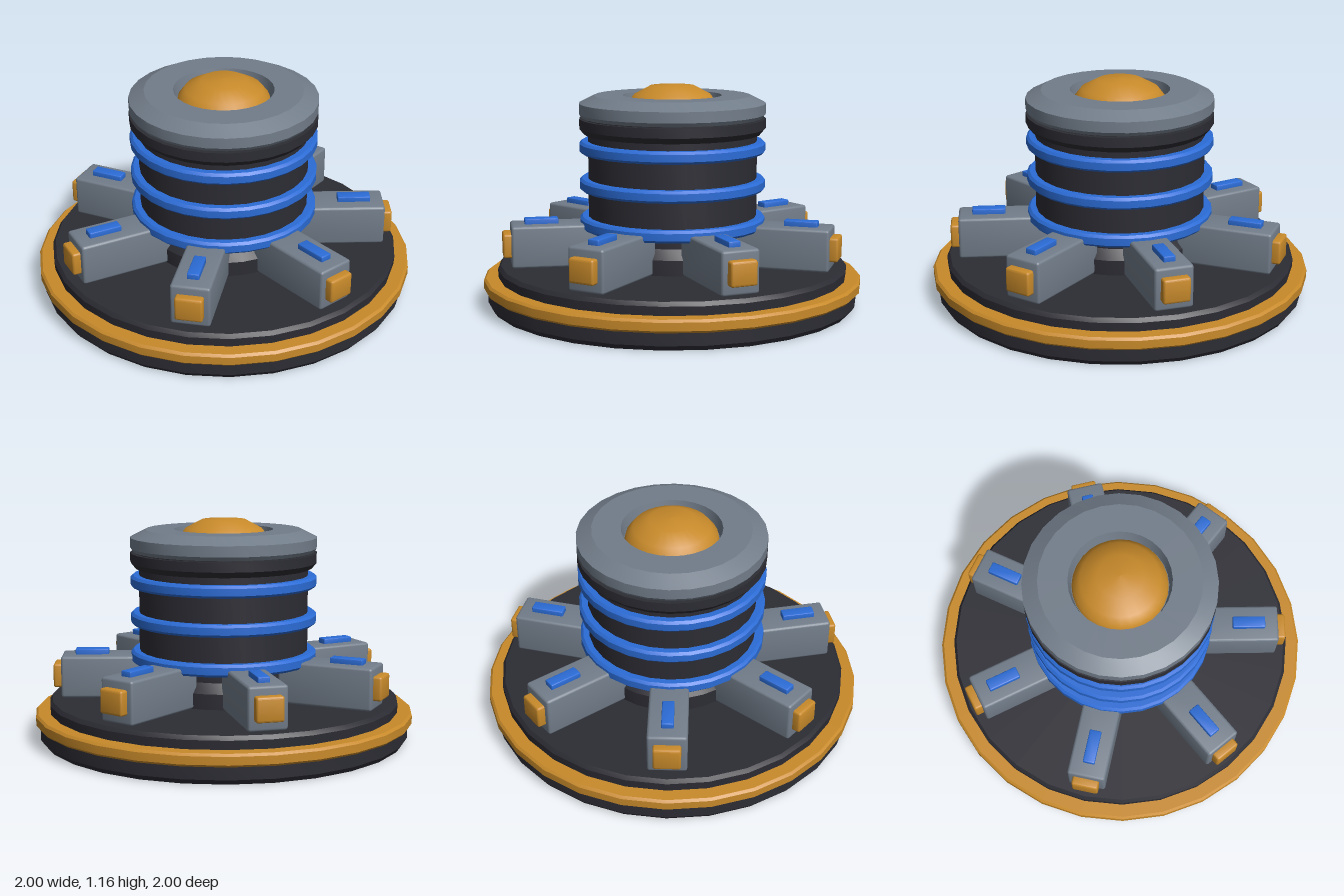
import * as THREE from 'three';
import { toCreasedNormals } from 'three/addons/utils/BufferGeometryUtils.js';
import { RoundedBoxGeometry } from 'three/addons/geometries/RoundedBoxGeometry.js';

const SIDES = 28;
const ARMS = 7;

function material(name, color) {
  const m = new THREE.MeshStandardMaterial({ color });
  m.name = name;
  return m;
}

export function createModel() {
  const model = new THREE.Group();
  model.name = 'reactorTower';
  const dark = material('charcoal', 0x2c2c34);
  const grey = material('steelGrey', 0x727d8a);
  const blue = material('brightBlue', 0x2b6cd6);
  const gold = material('gold', 0xc88a2a);

  function add(parent, name, geometry, mat) {
    const mesh = new THREE.Mesh(geometry, mat);
    mesh.name = name;
    parent.add(mesh);
    return mesh;
  }

  // Turned part: profile of [radius, y] pairs running upwards along the outside
  function turned(name, profile, mat, smooth = false) {
    const points = profile.map(([r, y]) => new THREE.Vector2(r, y));
    const lathe = new THREE.LatheGeometry(points, SIDES);
    return add(model, name, smooth ? lathe : toCreasedNormals(lathe, 0.45), mat);
  }

  // Chamfered band between two heights
  function band(name, inner, outer, y0, y1, c, mat) {
    return turned(name, [
      [inner, y0], [outer - c, y0], [outer, y0 + c],
      [outer, y1 - c], [outer - c, y1], [inner, y1],
    ], mat);
  }

  // Base plate with its gold rim
  turned('basePlate', [
    [0, 0], [0.96, 0], [0.978, 0.025], [0.978, 0.1], [0.92, 0.12],
    [0.925, 0.2], [0.91, 0.22], [0, 0.22],
  ], dark);
  band('baseRim', 0.9, 1, 0.09, 0.155, 0.012, gold);

  // Stepped pedestal and column
  turned('pedestal', [
    [0.4, 0.21], [0.4, 0.3], [0.36, 0.35], [0.36, 0.38], [0.44, 0.42],
  ], dark);
  turned('column', [[0.445, 0.41], [0.445, 0.9], [0.4, 0.9]], dark);
  [0.405, 0.605, 0.8].forEach((y, i) => {
    band('glowRing' + (i + 1), 0.42, 0.49, y, y + 0.063, 0.013, blue);
  });

  // Collar, recessed cap and dome
  turned('collar', [
    [0.4, 0.9], [0.465, 0.9], [0.49, 0.93], [0.49, 0.98],
    [0.465, 0.98], [0.465, 1.0],
  ], dark);
  turned('cap', [
    [0.4, 0.985], [0.475, 0.985], [0.49, 1.005], [0.49, 1.06],
    [0.41, 1.1], [0.26, 1.1], [0.245, 1.03], [0, 1.03],
  ], grey);
  turned('dome', [
    [0.242, 1.03], [0.235, 1.06], [0.2, 1.105], [0.115, 1.15], [0, 1.158],
  ], gold, true);

  // Radial arms, each built along +x and turned about the column
  const armBody = toCreasedNormals(new RoundedBoxGeometry(0.505, 0.22, 0.2, 2, 0.014), 0.5);
  const endPlate = toCreasedNormals(new RoundedBoxGeometry(0.06, 0.125, 0.14, 2, 0.012), 0.5);
  const topLight = toCreasedNormals(new RoundedBoxGeometry(0.175, 0.045, 0.062, 2, 0.006), 0.5);
  for (let i = 0; i < ARMS; i++) {
    const arm = new THREE.Group();
    arm.name = 'arm' + (i + 1);
    add(arm, 'armBody', armBody, grey).position.set(0.6025, 0.33, 0);
    add(arm, 'armEndPlate', endPlate, gold).position.set(0.868, 0.333, 0);
    add(arm, 'armLight', topLight, blue).position.set(0.695, 0.446, 0);
    arm.rotation.y = (i / ARMS) * Math.PI * 2;
    model.add(arm);
  }

  return model;
}
